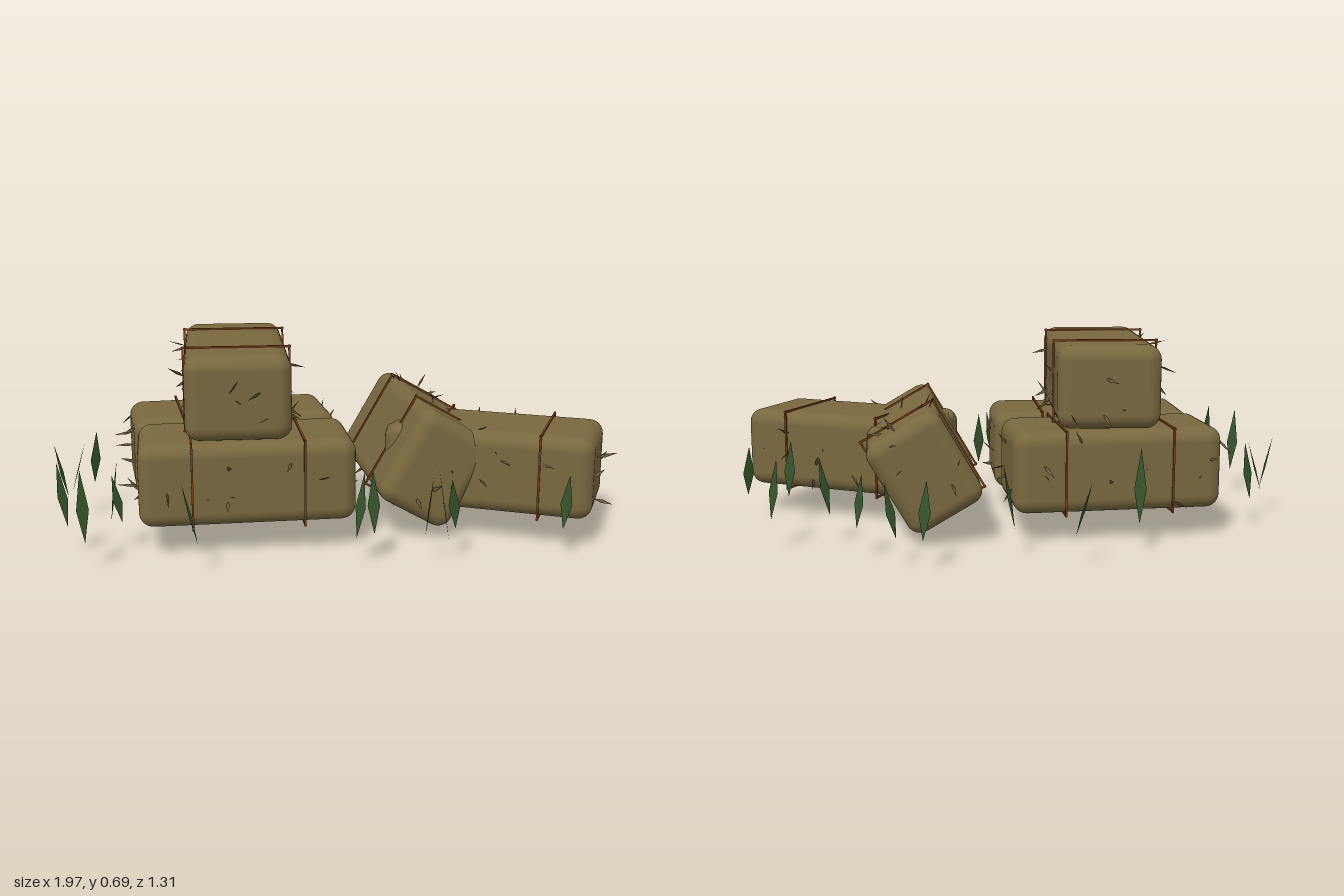
import * as THREE from 'three';
import { RoundedBoxGeometry } from 'three/addons/geometries/RoundedBoxGeometry.js';

const W = 0.36, H = 0.29, L = 0.74;

// Small seeded random source
function seeded(seed) {
  let s = seed;
  return () => (s = (s * 16807) % 2147483647) / 2147483647;
}

// One mesh made of thin four-cornered leaves
function leafMesh(name, leaves, material) {
  const pos = [];
  for (const { base, tip, side } of leaves) {
    const mid = base.clone().lerp(tip, 0.45);
    const a = mid.clone().add(side), b = mid.clone().sub(side);
    for (const p of [base, a, tip, base, tip, b]) pos.push(p.x, p.y, p.z);
  }
  const geo = new THREE.BufferGeometry();
  geo.setAttribute('position', new THREE.Float32BufferAttribute(pos, 3));
  geo.computeVertexNormals();
  const mesh = new THREE.Mesh(geo, material);
  mesh.name = name;
  return mesh;
}

export function createModel() {
  const mat = (name, color) => {
    const m = new THREE.MeshStandardMaterial({ color });
    m.name = name;
    return m;
  };
  const hay = mat('hay', 0x78683f);
  const twine = mat('twine', 0x7a3d14);
  const straw = mat('straw', 0x655539);
  const grass = mat('grass', 0x34512a);
  straw.side = grass.side = THREE.DoubleSide;

  const root = new THREE.Group();
  root.name = 'hayBales';

  const baleGeo = new RoundedBoxGeometry(W, H, L, 5, 0.05);
  const t = 0.007;
  const flatBar = new THREE.BoxGeometry(W + 0.014, t, t);
  const uprightBar = new THREE.BoxGeometry(t, H + 0.014, t);

  // Square loop of twine around a bale
  function twineLoop(z) {
    const loop = new THREE.Group();
    loop.name = 'twineLoop';
    for (const s of [-1, 1]) {
      const flat = new THREE.Mesh(flatBar, twine);
      flat.position.set(0, s * (H / 2 + 0.002), z);
      const upright = new THREE.Mesh(uprightBar, twine);
      upright.position.set(s * (W / 2 + 0.002), 0, z);
      flat.name = 'twineAcross';
      upright.name = 'twineUpright';
      loop.add(flat, upright);
    }
    return loop;
  }

  // Loose stalks sticking out of the long sides and the ends
  function stalks(seed) {
    const r = seeded(seed);
    const rnd = (a) => (r() - 0.5) * 2 * a;
    r(); r();
    const leaves = [];
    for (let i = 0; i < 24; i++) {
      const s = i % 2 ? 1 : -1;
      const onEnd = i % 6 > 3;
      const out = onEnd ? new THREE.Vector3(0, 0, s) : new THREE.Vector3(s, 0, 0);
      const base = onEnd
        ? new THREE.Vector3(rnd(W * 0.42), rnd(H * 0.42), s * (L / 2 - 0.012))
        : new THREE.Vector3(s * (W / 2 - 0.012), rnd(H * 0.42), rnd(L * 0.45));
      const dir = out.clone().multiplyScalar(0.7)
        .add(new THREE.Vector3(rnd(0.8), rnd(0.8), rnd(0.8))).normalize();
      if (dir.dot(out) < 0.25) dir.addScaledVector(out, 0.5).normalize();
      const tip = base.clone().addScaledVector(dir, 0.05 + r() * 0.04);
      const side = new THREE.Vector3(rnd(1), rnd(1), rnd(1)).cross(dir).setLength(0.0065);
      leaves.push({ base, tip, side });
    }
    return leafMesh('looseStalks', leaves, straw);
  }

  // Bales: name, position, yaw, roll
  const bales = [
    ['backLowerBale', [-0.34, 0.235, -0.175], Math.PI / 2 + 0.04, 0],
    ['frontLowerBale', [-0.325, 0.235, 0.21], Math.PI / 2 - 0.03, 0],
    ['topBale', [-0.335, 0.527, 0.015], -0.07, 0],
    ['tippedBale', [0.328, 0.243, 0], 0, Math.PI / 3],
    ['angledBale', [0.575, 0.235, 0.225], 1.08, 0],
  ];
  bales.forEach(([name, p, yaw, roll], i) => {
    const bale = new THREE.Group();
    bale.name = name;
    const body = new THREE.Mesh(baleGeo, hay);
    body.name = 'baleBody';
    bale.add(body, twineLoop(-0.19), twineLoop(0.19), stalks(1237 + i * 7919));
    bale.position.set(...p);
    bale.rotation.set(0, yaw, roll);
    root.add(bale);
  });

  // Small tuft of hay on the tipped bale
  const tuft = new THREE.Mesh(new THREE.SphereGeometry(1, 12, 8), hay);
  tuft.name = 'hayTuft';
  tuft.scale.set(0.026, 0.03, 0.055);
  tuft.position.set(0.215, 0.345, 0.18);
  root.add(tuft);

  // Grass blades around the pile, as x, z pairs
  const spots = [
    [-0.97, -0.05], [-0.91, -0.1], [-0.85, -0.2], [-0.95, 0.31], [-0.77, 0.3],
    [-0.78, 0.25], [-0.88, 0.45], [-0.54, 0.55], [-0.17, -0.64], [0.06, -0.53],
    [0.34, -0.61], [0.45, -0.58], [0.55, -0.45], [0.67, -0.29], [0.84, -0.3],
    [0.81, 0.04], [0.96, 0.05], [0.34, 0.54], [0.02, 0.55], [0.07, 0.52],
    [0.28, 0.63], [0.72, 0.58], [0.24, 0.6], [-0.39, -0.48],
  ];
  const r = seeded(4421);
  r(); r();
  const blades = spots.map(([x, z]) => {
    const a = r() * Math.PI * 2;
    const lean = 0.012 + r() * 0.015;
    const h = 0.17 + r() * 0.08;
    const dx = Math.cos(a), dz = Math.sin(a);
    return {
      base: new THREE.Vector3(x - dx * lean, 0.09, z - dz * lean),
      tip: new THREE.Vector3(x + dx * lean, 0.09 + h, z + dz * lean),
      side: new THREE.Vector3(-dz * 0.021, 0, dx * 0.021),
    };
  });
  root.add(leafMesh('grassBlades', blades, grass));

  return root;
}
